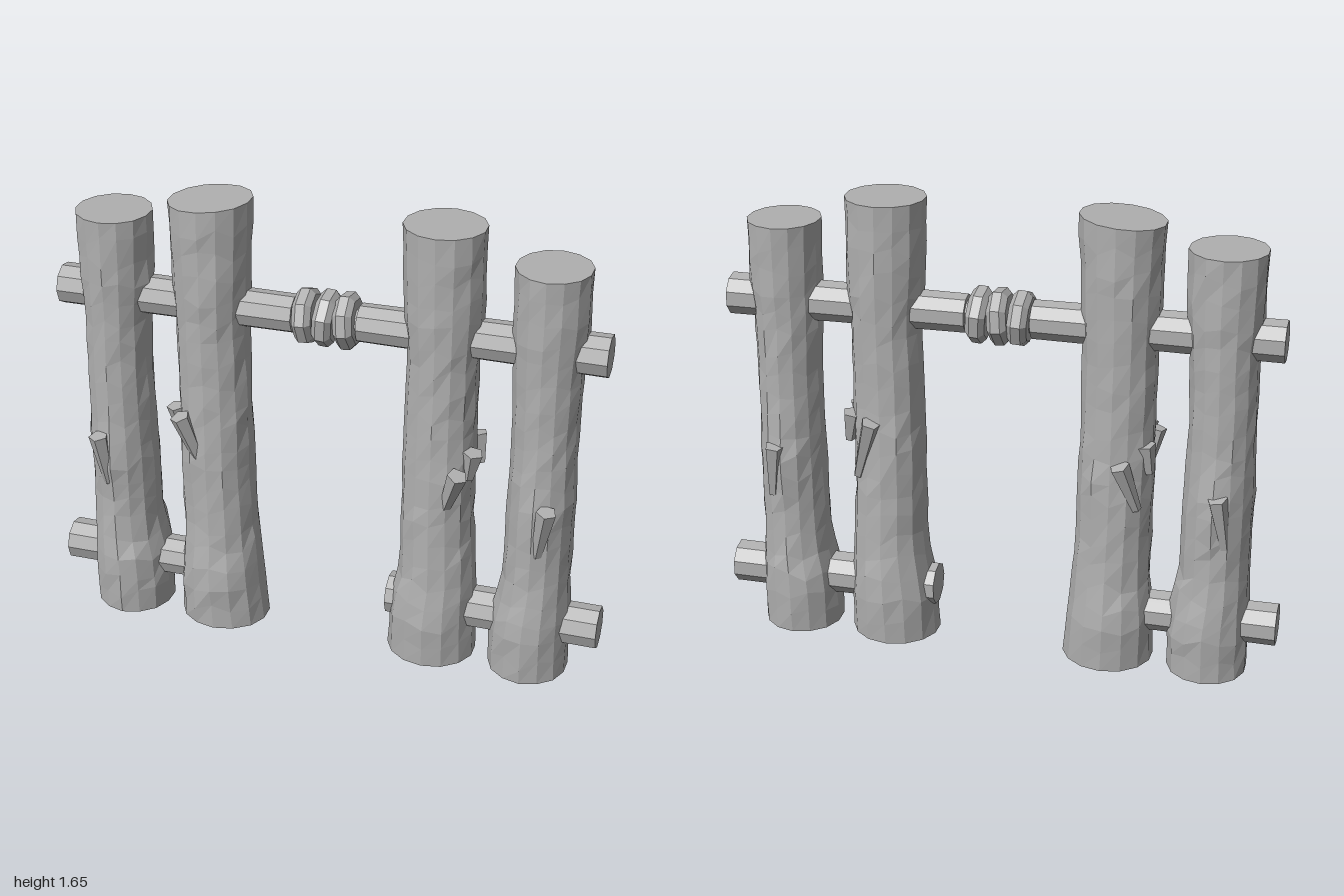
import * as THREE from 'three';

const SIDES = 14;
const LEVELS = [0, 0.2, 0.35, 0.6, 1.0, 1.2, 1.36, 1.7];
const DEPTH = [0.15, 0.163, 0.14, 0.134, 0.126, 0.128, 0.136, 0.138];

// repeatable value in -1..1
function jitter(a, b, c) {
  const s = Math.sin(a * 12.99 + b * 78.23 + c * 37.72) * 43758.55;
  return 2 * (s - Math.floor(s)) - 1;
}

function sample(list, y) {
  let i = 0;
  while (i < LEVELS.length - 2 && y > LEVELS[i + 1]) i++;
  return THREE.MathUtils.lerp(list[i], list[i + 1], (y - LEVELS[i]) / (LEVELS[i + 1] - LEVELS[i]));
}

export function createModel() {
  const wood = new THREE.MeshStandardMaterial({ color: 0xb0b0b0, flatShading: true });
  wood.name = 'plain wood grey';
  const model = new THREE.Group();
  model.name = 'logFence';

  function add(geometry, name, parent = model) {
    const mesh = new THREE.Mesh(geometry, wood);
    mesh.name = name;
    parent.add(mesh);
    return mesh;
  }

  // hewn log: left and right edges per level, plus swellings [angle, y, amount, angle width, height]
  function post({ name, height, left, right, tilt = 0, swells, seed }) {
    const rows = 20;
    const g = new THREE.CylinderGeometry(1, 1, 1, SIDES, rows);
    const p = g.attributes.position;
    for (let i = 0; i < p.count; i++) {
      const x = p.getX(i), z = p.getZ(i), t = p.getY(i) + 0.5;
      const rad = Math.hypot(x, z), angle = Math.atan2(x, z);
      const side = ((Math.round(angle / (2 * Math.PI) * SIDES) % SIDES) + SIDES) % SIDES;
      const row = Math.round(t * rows), end = row === 0 || row === rows;
      let y = t * height;
      const l = sample(left, y), r = sample(right, y);
      let k = 1 + (end ? 0.01 : 0.025) * jitter(side, row, seed);
      for (const [a, sy, amount, wa, wy] of swells) {
        const d = Math.atan2(Math.sin(angle - a), Math.cos(angle - a));
        k += amount * Math.exp(-((d / wa) ** 2) - ((y - sy) / wy) ** 2);
      }
      if (!end && rad > 0.5) y += 0.022 * jitter(row, side, seed + 5);
      p.setXYZ(i, (l + r) / 2 + x * k * (r - l) / 2, y + (end && row ? tilt * x : 0) + 0.008 * (1 - t),
        z * k * sample(DEPTH, t * height) - 0.004);
    }
    g.computeVertexNormals();
    add(g, name);
  }

  const H = Math.PI / 2;
  const railSwells = [[H, 1.35, 0.09, 0.5, 0.05], [-H, 1.35, 0.07, 0.5, 0.05],
    [H, 1.14, 0.06, 0.5, 0.05], [-H, 1.14, 0.05, 0.5, 0.05]];
  post({ name: 'outerPostRight', height: 1.565, seed: 1,
    left: [-0.9, -0.9, -0.895, -0.89, -0.89, -0.885, -0.895, -0.905],
    right: [-0.615, -0.61, -0.645, -0.65, -0.66, -0.655, -0.64, -0.63],
    swells: [...railSwells, [0, 0.65, 0.16, 0.5, 0.11], [Math.PI, 0.65, 0.16, 0.5, 0.11], [-1.4, 0.7, 0.06, 0.5, 0.08]] });
  post({ name: 'innerPostRight', height: 1.645, seed: 2, tilt: 0.012,
    left: [-0.56, -0.56, -0.54, -0.545, -0.545, -0.545, -0.55, -0.565],
    right: [-0.235, -0.25, -0.27, -0.28, -0.285, -0.29, -0.28, -0.265],
    swells: [[-H, 1.34, 0.05, 0.5, 0.06], [-0.5, 0.7, 0.08, 0.4, 0.12], [2.7, 0.7, 0.1, 0.4, 0.12]] });
  post({ name: 'innerPostLeft', height: 1.655, seed: 3,
    left: [0.235, 0.24, 0.275, 0.275, 0.28, 0.285, 0.27, 0.258],
    right: [0.555, 0.555, 0.545, 0.53, 0.53, 0.53, 0.54, 0.542],
    swells: [[H, 1.34, 0.05, 0.5, 0.06], [0.5, 0.74, 0.1, 0.4, 0.1], [-2.6, 0.74, 0.1, 0.4, 0.12]] });
  post({ name: 'outerPostLeft', height: 1.552, seed: 4,
    left: [0.61, 0.61, 0.645, 0.65, 0.655, 0.65, 0.645, 0.632],
    right: [0.895, 0.895, 0.885, 0.885, 0.88, 0.88, 0.89, 0.898],
    swells: [...railSwells, [0.1, 0.65, 0.14, 0.5, 0.11], [Math.PI, 0.66, 0.16, 0.5, 0.11], [1.4, 0.72, 0.06, 0.5, 0.07]] });

  // cut branch stubs lying on the bark, front and back
  function stub(x, y, z, length, lean, pitch) {
    const mesh = add(new THREE.CylinderGeometry(0.036, 0.018, length, 5), 'branchStub');
    mesh.position.set(x, y, z);
    mesh.rotation.set(pitch, 0, lean);
  }
  for (const s of [1, -1]) {
    stub(-0.8 * s, 0.65, 0.135 * s, 0.2, 0.1, 0.12 * s);
    stub(-0.465 * s, 0.76, 0.115 * s, 0.24, 0.28, 0.2 * s);
    stub(0.475 * s, 0.72, 0.118 * s, 0.19, -0.3, 0.25 * s);
    stub(0.8 * s, 0.63, 0.135 * s, 0.2, -0.15, 0.15 * s);
    stub(-0.53 * s, 0.82, 0.06 * s, 0.11, 0.15, 0.1 * s);
    stub(0.53 * s, 0.81, 0.06 * s, 0.11, -0.15, 0.1 * s);
  }

  // round rails with slightly uneven ends
  function rail(name, x0, x1, y, r0, r1) {
    const g = new THREE.CylinderGeometry(r1, r0, x1 - x0, 9, 1);
    g.rotateZ(-H);
    add(g, name).position.set((x0 + x1) / 2, y, -0.005);
  }
  rail('upperRailRight', -0.972, -0.115, 1.26, 0.073, 0.068);
  rail('upperRailLeft', 0.115, 0.968, 1.26, 0.068, 0.074);
  rail('upperRailCore', -0.12, 0.12, 1.26, 0.05, 0.05);
  rail('lowerRailRight', -1, -0.4, 0.2, 0.076, 0.072);
  rail('lowerRailLeft', 0.234, 1, 0.2, 0.076, 0.077);

  // rope coils binding the upper rail
  const binding = new THREE.Group();
  binding.name = 'ropeBinding';
  const coil = [[0.04, -0.036], [0.08, -0.034], [0.1, -0.016], [0.1, 0.016], [0.08, 0.034], [0.04, 0.036]]
    .map(([r, y]) => new THREE.Vector2(r, y));
  [-0.073, -0.002, 0.072].forEach((x, i) => {
    const g = new THREE.LatheGeometry(coil, 8);
    g.rotateY(i * 0.5);
    g.rotateZ(-H + [0.06, -0.07, 0.08][i]);
    add(g, 'ropeCoil', binding).position.set(x, 1.26, -0.006);
  });
  model.add(binding);
  return model;
}
